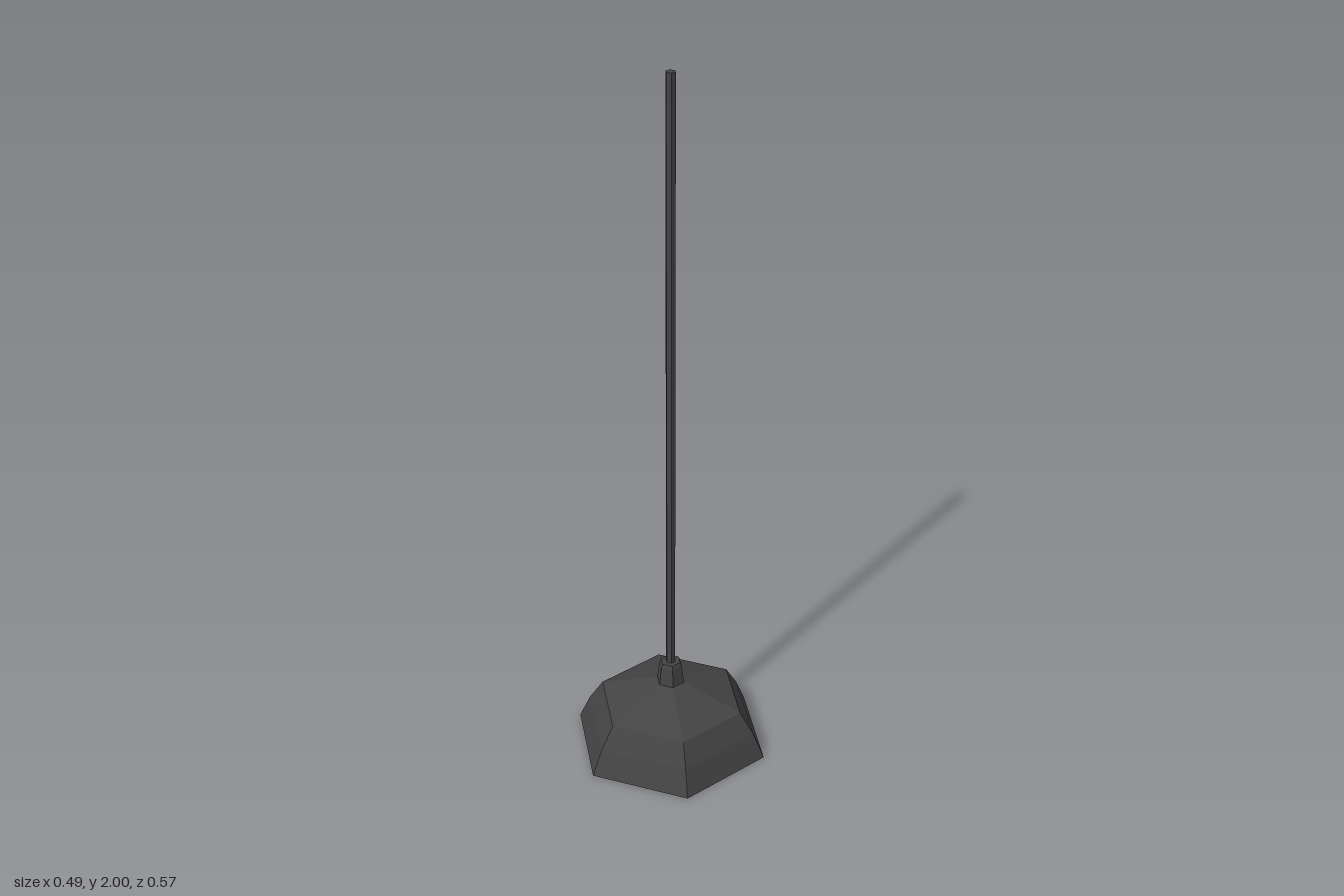
import * as THREE from 'three';

const SIDES = 6;

// Six-sided lathe part; profile points are [radius, height]
function lathePart(name, color, profile) {
  const points = profile.map(([r, y]) => new THREE.Vector2(r, y));
  const material = new THREE.MeshStandardMaterial({ color, flatShading: true });
  const mesh = new THREE.Mesh(new THREE.LatheGeometry(points, SIDES), material);
  mesh.name = name;
  return mesh;
}

export function createModel() {
  const lamp = new THREE.Group();
  lamp.name = 'pendantLamp';
  const dark = 0x444444;

  lamp.add(
    // Outer shell, including the thin rim underneath
    lathePart('shadeOuter', dark, [
      [0.27, 0], [0.283, 0], [0.25, 0.075], [0.21, 0.138], [0.038, 0.202],
    ]),
    // Pale reflector on the inside of the wall
    lathePart('shadeReflector', 0xcccccc, [
      [0.2, 0.13], [0.238, 0.072], [0.27, 0],
    ]),
    // Dark ceiling inside the shade
    lathePart('shadeCeiling', dark, [
      [0, 0.19], [0.038, 0.19], [0.2, 0.13],
    ]),
    // Tapered collar joining shade and rod
    lathePart('collar', dark, [
      [0.041, 0.195], [0.034, 0.255], [0.029, 0.267], [0, 0.267],
    ]),
    // Long hanging rod
    lathePart('rod', dark, [
      [0.0135, 0.26], [0.0135, 2], [0, 2],
    ]),
    // Socket and bulb
    lathePart('socket', dark, [
      [0, 0.125], [0.02, 0.125], [0.022, 0.19],
    ]),
    lathePart('bulb', 0xe0b830, [
      [0, 0.014], [0.02, 0.022], [0.034, 0.045], [0.034, 0.065],
      [0.024, 0.1], [0.016, 0.13], [0, 0.13],
    ]),
  );
  return lamp;
}
